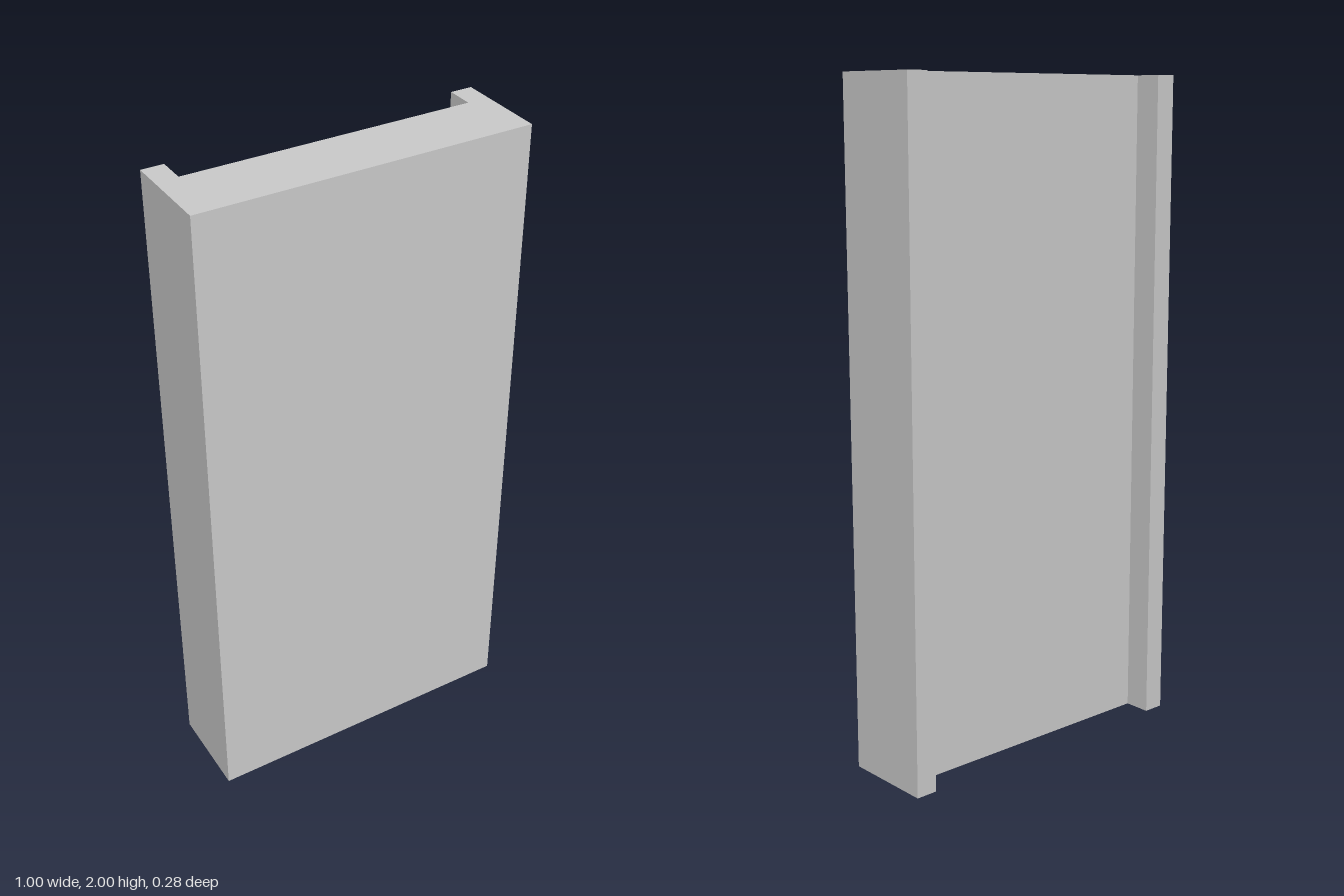
import * as THREE from 'three';

const WIDTH = 1, HEIGHT = 2, DEPTH = 0.282;
const FLANGE = 0.066; // width of each rear flange
const RECESS = 0.083; // depth of the channel between the flanges

export function createModel() {
  const group = new THREE.Group();
  group.name = 'channelPanel';

  // U-shaped plan (shape y points to the back), extruded upwards
  const w = WIDTH / 2, d = DEPTH / 2, inner = w - FLANGE, floor = d - RECESS;
  const plan = new THREE.Shape([
    [-w, -d], [w, -d], [w, d], [inner, d],
    [inner, floor], [-inner, floor], [-inner, d], [-w, d],
  ].map(([x, y]) => new THREE.Vector2(x, y)));

  const geometry = new THREE.ExtrudeGeometry(plan, { depth: HEIGHT, bevelEnabled: false });
  geometry.rotateX(-Math.PI / 2);

  const panel = new THREE.Mesh(geometry, new THREE.MeshStandardMaterial({ color: 0xcccccc }));
  panel.name = 'panelWithRearFlanges';
  group.add(panel);
  return group;
}
